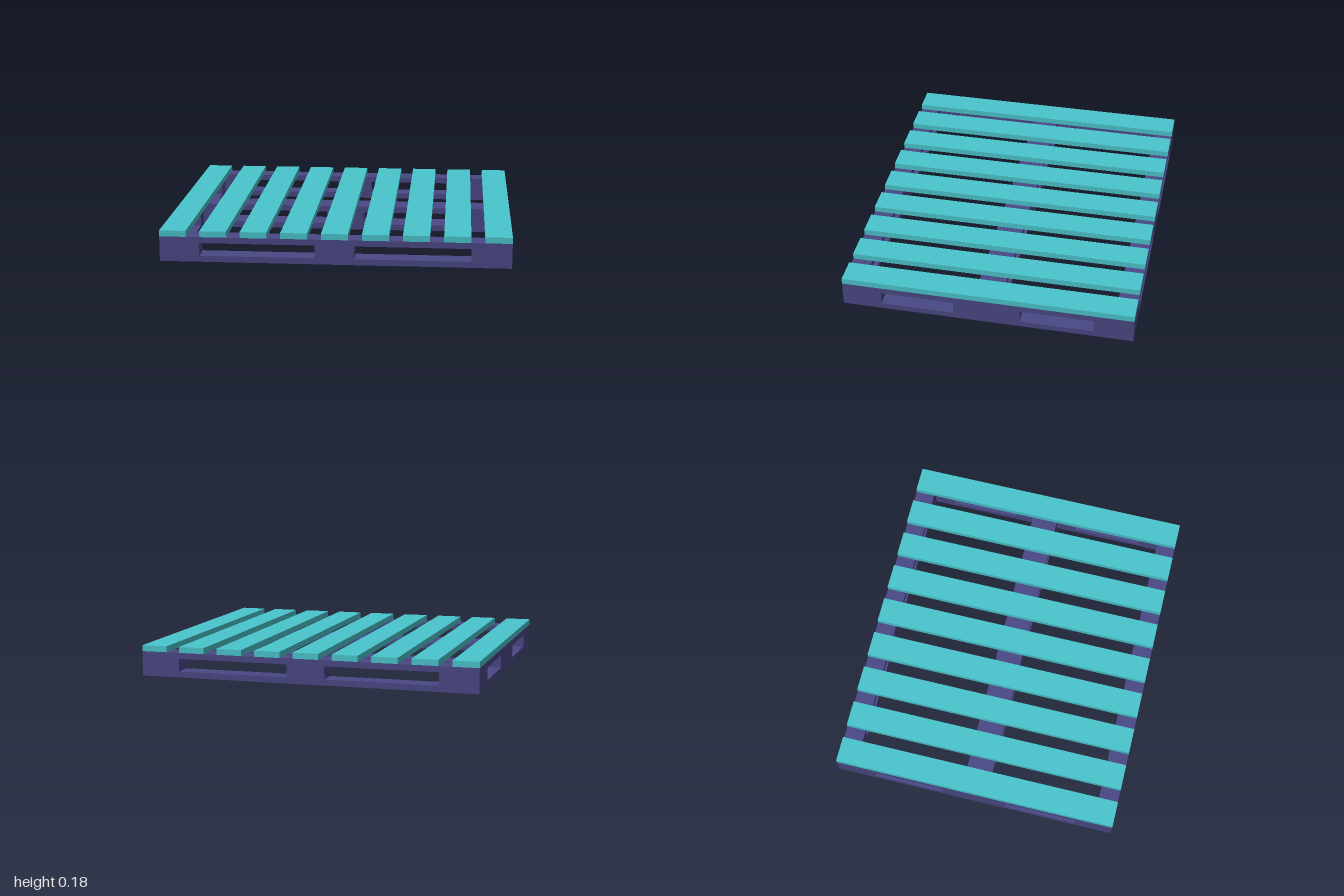
import * as THREE from 'three';

const FRAME_TOP = 0.145, TOP = 0.18, HALF_X = 1, HALF_Z = 0.845, SIDE_W = 0.12;

// Upright beam along x with two mirrored fork openings, centred on z = 0
function beamGeometry(halfLength, thickness, holeStart, holeEnd) {
  const shape = new THREE.Shape([
    new THREE.Vector2(-halfLength, 0), new THREE.Vector2(halfLength, 0),
    new THREE.Vector2(halfLength, FRAME_TOP), new THREE.Vector2(-halfLength, FRAME_TOP),
  ]);
  for (const s of [-1, 1]) {
    shape.holes.push(new THREE.Path([
      new THREE.Vector2(s * holeStart, 0.035), new THREE.Vector2(s * holeStart, 0.11),
      new THREE.Vector2(s * holeEnd, 0.11), new THREE.Vector2(s * holeEnd, 0.035),
    ]));
  }
  return new THREE.ExtrudeGeometry(shape, { depth: thickness, bevelEnabled: false })
    .translate(0, 0, -thickness / 2);
}

export function createModel() {
  const model = new THREE.Group();
  model.name = 'pallet';
  const frameMaterial = new THREE.MeshStandardMaterial({ color: 0x4a4885 });
  const slatMaterial = new THREE.MeshStandardMaterial({ color: 0x4ac6ce });

  const add = (name, geometry, material, x, y, z) => {
    const mesh = new THREE.Mesh(geometry, material);
    mesh.name = name;
    mesh.position.set(x, y, z);
    model.add(mesh);
    return mesh;
  };

  // Front, middle and back beams, fitted between the side beams
  const innerX = HALF_X - SIDE_W;
  const endBeam = beamGeometry(innerX, 0.115, 0.112, 0.772);
  add('frontBeam', endBeam, frameMaterial, 0, 0, HALF_Z - 0.0575);
  add('backBeam', endBeam, frameMaterial, 0, 0, -HALF_Z + 0.0575);
  add('middleBeam', beamGeometry(innerX, 0.155, 0.112, 0.772), frameMaterial, 0, 0, 0);

  // Side beams
  const sideBeam = beamGeometry(HALF_Z, SIDE_W, 0.193, 0.617).rotateY(Math.PI / 2);
  add('leftBeam', sideBeam, frameMaterial, HALF_X - SIDE_W / 2, 0, 0);
  add('rightBeam', sideBeam, frameMaterial, -HALF_X + SIDE_W / 2, 0, 0);

  // Nine deck slats
  const slatWidth = 0.152, count = 9;
  const pitch = (2 * HALF_X - slatWidth) / (count - 1);
  const slat = new THREE.BoxGeometry(slatWidth, TOP - FRAME_TOP, 2 * HALF_Z);
  for (let i = 0; i < count; i++) {
    add('deckSlat', slat, slatMaterial, (i - (count - 1) / 2) * pitch, (TOP + FRAME_TOP) / 2, 0);
  }
  return model;
}
